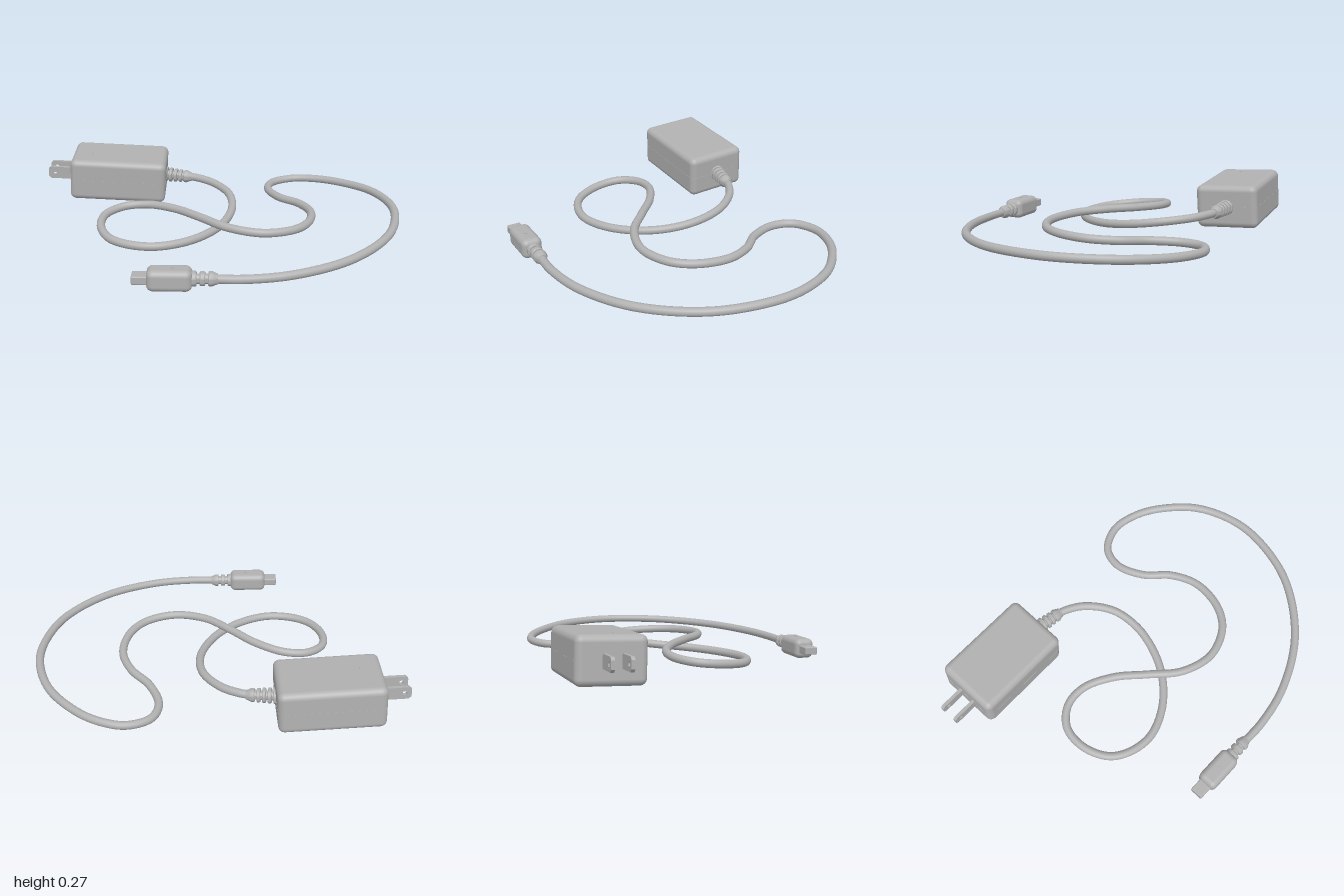
import * as THREE from 'three';
import { RoundedBoxGeometry } from 'three/addons/geometries/RoundedBoxGeometry.js';
import { toCreasedNormals } from 'three/addons/utils/BufferGeometryUtils.js';

const grey = new THREE.MeshStandardMaterial({ color: 0xb0b0b0 });
grey.name = 'grey plastic';

function add(parent, name, geometry, x = 0, y = 0, z = 0) {
  const mesh = new THREE.Mesh(geometry, grey);
  mesh.name = name;
  mesh.position.set(x, y, z);
  parent.add(mesh);
  return mesh;
}

// Lathe along +x from [distance, radius] pairs
function turned(pairs) {
  const g = new THREE.LatheGeometry(pairs.map(([t, r]) => new THREE.Vector2(r, t)), 32);
  g.rotateZ(-Math.PI / 2);
  return toCreasedNormals(g, 0.6);
}

// Ribbed strain relief: a core with evenly spaced rings and an end collar
function strainRelief(length, rings, ringRadius) {
  const core = 0.024, collar = 0.045;
  const pitch = (length - collar) / rings;
  const pairs = [[0, 0]];
  for (let i = 0; i < rings; i++) {
    const t = i * pitch, r = ringRadius - i * 0.002;
    pairs.push([t, core], [t, r - 0.004], [t + 0.004, r],
      [t + pitch * 0.55, r], [t + pitch * 0.65, r - 0.004], [t + pitch * 0.65, core]);
  }
  const c = length - collar;
  pairs.push([c, core], [c, 0.032], [c + 0.005, 0.036], [c + 0.018, 0.036],
    [c + 0.032, 0.029], [length, 0.025], [length, 0]);
  return turned(pairs);
}

// Flat prong pointing to -x, with a hole near the tip
function prongGeometry(length, height, thickness) {
  const h = height / 2, c = 0.014;
  const s = new THREE.Shape();
  s.moveTo(0, -h);
  s.lineTo(0, h);
  s.lineTo(-length + c, h);
  s.lineTo(-length, h - c);
  s.lineTo(-length, -h + c);
  s.lineTo(-length + c, -h);
  s.closePath();
  const hole = new THREE.Path();
  hole.absarc(-length + 0.035, 0, 0.012, 0, Math.PI * 2);
  s.holes.push(hole);
  const g = new THREE.ExtrudeGeometry(s, { depth: thickness, bevelEnabled: false, curveSegments: 10 });
  return g.translate(0, 0, -thickness / 2);
}

// Thin band following a rounded rectangle, lying flat
function bandGeometry(w, d, r, height) {
  const x = w / 2 - r, y = d / 2 - r, s = new THREE.Shape();
  s.absarc(x, y, r, 0, Math.PI / 2);
  s.absarc(-x, y, r, Math.PI / 2, Math.PI);
  s.absarc(-x, -y, r, Math.PI, Math.PI * 1.5);
  s.absarc(x, -y, r, Math.PI * 1.5, Math.PI * 2);
  const g = new THREE.ExtrudeGeometry(s, { depth: height, bevelEnabled: false, curveSegments: 8 });
  return toCreasedNormals(g.translate(0, 0, -height / 2).rotateX(-Math.PI / 2), 0.6);
}

// Cable centre line
const cablePath = [
  [-0.35, 0.122, -0.243], [-0.28, 0.12, -0.27], [-0.17, 0.113, -0.28], [-0.02, 0.1, -0.235],
  [0.096, 0.08, -0.126], [0.166, 0.062, 0.02], [0.19, 0.052, 0.18], [0.16, 0.046, 0.35],
  [0.075, 0.045, 0.49], [-0.05, 0.048, 0.56], [-0.165, 0.053, 0.567], [-0.29, 0.065, 0.5],
  [-0.36, 0.078, 0.39], [-0.34, 0.09, 0.27], [-0.245, 0.1, 0.187], [-0.075, 0.108, 0.153],
  [0.11, 0.112, 0.165], [0.3, 0.108, 0.172], [0.47, 0.1, 0.1], [0.56, 0.095, -0.045],
  [0.556, 0.09, -0.185], [0.47, 0.082, -0.335], [0.337, 0.073, -0.415], [0.18, 0.062, -0.446],
  [0.043, 0.055, -0.53], [0, 0.055, -0.64], [0.06, 0.06, -0.76], [0.19, 0.068, -0.827],
  [0.35, 0.077, -0.845], [0.567, 0.09, -0.805], [0.79, 0.097, -0.65], [0.935, 0.094, -0.4],
  [0.976, 0.087, -0.185], [0.945, 0.077, 0.083], [0.823, 0.067, 0.34], [0.674, 0.062, 0.51],
  [0.54, 0.062, 0.614],
];

export function createModel() {
  const model = new THREE.Group();
  model.name = 'powerAdapter';

  // Wall adapter, turned and slightly tilted
  const adapter = new THREE.Group();
  adapter.name = 'adapter';
  adapter.position.set(-0.655, 0.142, -0.013);
  adapter.rotation.set(0, 0.69, -0.065, 'ZYX');
  model.add(adapter);
  add(adapter, 'adapterBody', new RoundedBoxGeometry(0.545, 0.237, 0.345, 5, 0.034));
  add(adapter, 'adapterSeam', bandGeometry(0.547, 0.347, 0.035, 0.005));
  add(adapter, 'indicator', new THREE.CylinderGeometry(0.005, 0.005, 0.003, 12), -0.16, 0.119, 0.03);
  for (const side of [-1, 1]) {
    add(adapter, 'prong', prongGeometry(0.16, 0.07, 0.018), -0.252, 0, 0.008 + side * 0.046);
  }
  const relief = add(adapter, 'adapterStrainRelief', strainRelief(0.16, 4, 0.043), 0.262, 0, 0);
  relief.rotation.y = -0.16;

  // Cable
  const curve = new THREE.CatmullRomCurve3(cablePath.map((p) => new THREE.Vector3(...p)));
  add(model, 'cable', new THREE.TubeGeometry(curve, 400, 0.022, 16, false));

  // Small plug at the far end
  const plug = new THREE.Group();
  plug.name = 'plug';
  plug.position.set(0.4, 0.062, 0.725);
  plug.rotation.y = 0.672;
  model.add(plug);
  add(plug, 'plugBody', new RoundedBoxGeometry(0.212, 0.106, 0.108, 5, 0.03));
  add(plug, 'plugButton', new THREE.CylinderGeometry(0.008, 0.008, 0.004, 16), 0.015, 0.054, 0);
  add(plug, 'plugTip', new RoundedBoxGeometry(0.1, 0.042, 0.07, 3, 0.006), -0.126, 0, 0);
  add(plug, 'plugStrainRelief', strainRelief(0.125, 2, 0.037), 0.1, 0, 0);

  return model;
}
